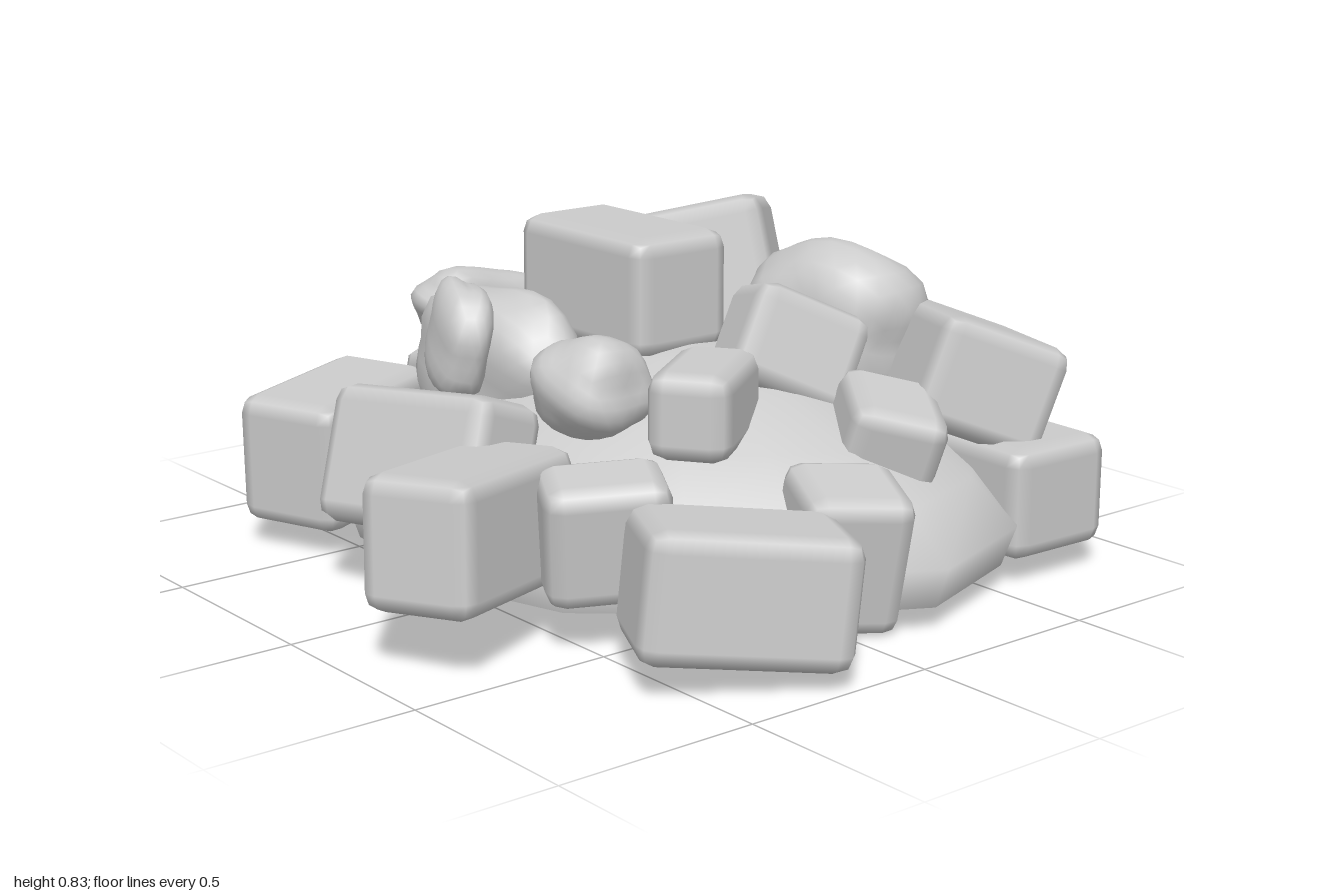
import * as THREE from 'three';
import { mergeVertices } from 'three/addons/utils/BufferGeometryUtils.js';
import { RoundedBoxGeometry } from 'three/addons/geometries/RoundedBoxGeometry.js';

const grey = new THREE.MeshStandardMaterial({ color: 0xcccccc });
const greyThin = new THREE.MeshStandardMaterial({ color: 0xcccccc, side: THREE.DoubleSide });

// Turn about the vertical first, then tilt about the fixed x and z axes
function place(mesh, name, [x, y, z], yaw = 0, tiltX = 0, tiltZ = 0) {
  mesh.name = name;
  mesh.position.set(x, y, z);
  mesh.rotation.set(tiltX, yaw, tiltZ, 'ZXY');
  return mesh;
}

// Stone block with one soft chamfer, shaded smoothly over its faces
function block(name, centre, size, ...turn) {
  const geo = new RoundedBoxGeometry(...size, 1, 0.045);
  return place(new THREE.Mesh(geo, grey), name, centre, ...turn);
}

// Lumpy boulder: a sphere pushed in and out by smooth waves
function boulder(name, centre, radii, seed, bend, ...turn) {
  let geo = new THREE.IcosahedronGeometry(1, 4);
  geo.deleteAttribute('uv');
  geo.deleteAttribute('normal');
  geo = mergeVertices(geo);
  const pos = geo.attributes.position;
  const v = new THREE.Vector3();
  for (let i = 0; i < pos.count; i++) {
    v.fromBufferAttribute(pos, i);
    const lump = 1 + 0.07 * Math.sin(3.1 * v.x + seed) * Math.cos(2.7 * v.z - seed)
      + 0.05 * Math.sin(5.3 * v.y + 2 * seed + 3 * v.x) + 0.03 * Math.sin(7 * v.z + seed);
    // squarer than a ball, with an optional bend along z
    const square = 1 / Math.pow(v.x ** 4 + v.y ** 4 + v.z ** 4, 0.12);
    v.multiplyScalar(lump * square * 0.95);
    v.x += bend * (v.z * v.z - 0.4);
    pos.setXYZ(i, v.x * radii[0], v.y * radii[1], v.z * radii[2]);
  }
  geo.computeVertexNormals();
  return place(new THREE.Mesh(geo, grey), name, centre, ...turn);
}

// Open shell of earth: the uneven rim shrinks ring by ring towards the top
function mound() {
  const rim = [[0.88, -0.19], [0.74, 0.07], [0.55, 0.3], [0.36, 0.52], [-0.02, 0.64], [-0.43, 0.58],
    [-0.71, 0.36], [-0.82, 0.08], [-0.95, -0.2], [-0.8, -0.5], [-0.52, -0.74], [-0.13, -0.86], [0.42, -0.9], [0.76, -0.54]];
  const rings = [[0.96, 0.06], [1, 0.16], [0.87, 0.27], [0.67, 0.37], [0.44, 0.46], [0.2, 0.515]];
  const cx = -0.02, cz = -0.13, n = rim.length;
  const points = [], index = [];
  rings.forEach(([s, y], r) => rim.forEach(([x, z], i) => {
    points.push(cx + (x - cx) * s, y, cz + (z - cz) * s);
    const a = r * n + i, b = r * n + (i + 1) % n;
    if (r < rings.length - 1) index.push(a, a + n, b, b, a + n, b + n);
    else index.push(a, rings.length * n, b);
  }));
  points.push(cx, 0.535, cz);
  const geo = new THREE.BufferGeometry();
  geo.setAttribute('position', new THREE.Float32BufferAttribute(points, 3));
  geo.setIndex(index);
  geo.computeVertexNormals();
  return place(new THREE.Mesh(geo, greyThin), 'mound', [0, 0, 0]);
}

export function createModel() {
  const group = new THREE.Group();
  group.name = 'rubblePile';
  group.add(mound());

  // Blocks around the foot
  group.add(
    block('frontLeftFootBlock', [0.765, 0.2, 0.335], [0.32, 0.3, 0.48], -0.5, -0.12, 0),
    block('frontSmallBlock', [0.44, 0.265, 0.45], [0.21, 0.29, 0.29], -0.5, 0.1, -0.1),
    block('frontFootBlock', [0.26, 0.28, 0.685], [0.28, 0.31, 0.5], 0.43, -0.05, 0.07),
    block('frontLeaningBlock', [-0.09, 0.325, 0.56], [0.49, 0.33, 0.23], 0.24, -0.33, 0.17),
    block('frontRightFootBlock', [-0.655, 0.235, 0.455], [0.29, 0.33, 0.47], 0.4, 0.03, -0.03),
    block('rightFootBlock', [-0.835, 0.235, -0.215], [0.27, 0.29, 0.52], -0.04, 0, 0.22),
    block('backRightFootBlock', [-0.45, 0.215, -0.66], [0.63, 0.38, 0.31], 0.75, -0.06, -0.06),
    block('backFootBlock', [0.085, 0.23, -0.835], [0.3, 0.27, 0.2], 0.33, -0.08, 0),
    block('backLeftFootBlock', [0.61, 0.2, -0.7], [0.31, 0.28, 0.31], -0.03, 0, 0),
    block('leftFootBlock', [0.68, 0.19, -0.045], [0.26, 0.34, 0.26], -0.45, 0, -0.18),
  );

  // Blocks on the upper slope
  group.add(
    block('peakBlock', [-0.325, 0.605, -0.485], [0.385, 0.36, 0.37], 0.78, 0.03, 0.28),
    block('topFlatBlock', [-0.21, 0.655, -0.115], [0.5, 0.3, 0.29], 0, 0, 0),
    block('backLeftUpperBlock', [0.445, 0.45, -0.675], [0.46, 0.28, 0.34], -0.5, -0.36, -0.1),
    block('topSmallBlock', [0.25, 0.54, -0.265], [0.235, 0.25, 0.31], -0.38, -0.5, 0.07),
    block('leftSlopeBlock', [0.525, 0.36, -0.32], [0.28, 0.25, 0.24], -0.6, -0.1, -0.3),
    block('frontSlopeBlock', [0.33, 0.475, 0.07], [0.2, 0.21, 0.34], 0.62, 0, 0),
  );

  // Boulders between the blocks
  group.add(
    boulder('backBoulder', [0.11, 0.55, -0.545], [0.255, 0.2, 0.18], 1.2, 0, 0.2, 0, -0.1),
    boulder('frontBoulder', [-0.35, 0.465, 0.17], [0.295, 0.2, 0.135], 2.6, 0, -0.05, 0, 0.1),
    boulder('longBoulder', [-0.69, 0.51, -0.045], [0.13, 0.1, 0.255], 4.1, 0.3, 0.1, -0.18, 0.25),
    boulder('standingBoulder', [-0.23, 0.575, 0.37], [0.14, 0.145, 0.075], 5.3, 0, -0.45, -0.15, 0),
    boulder('roundBoulder', [0.11, 0.5, 0.23], [0.145, 0.125, 0.14], 0.4, 0, 0, 0, 0),
  );
  return group;
}
